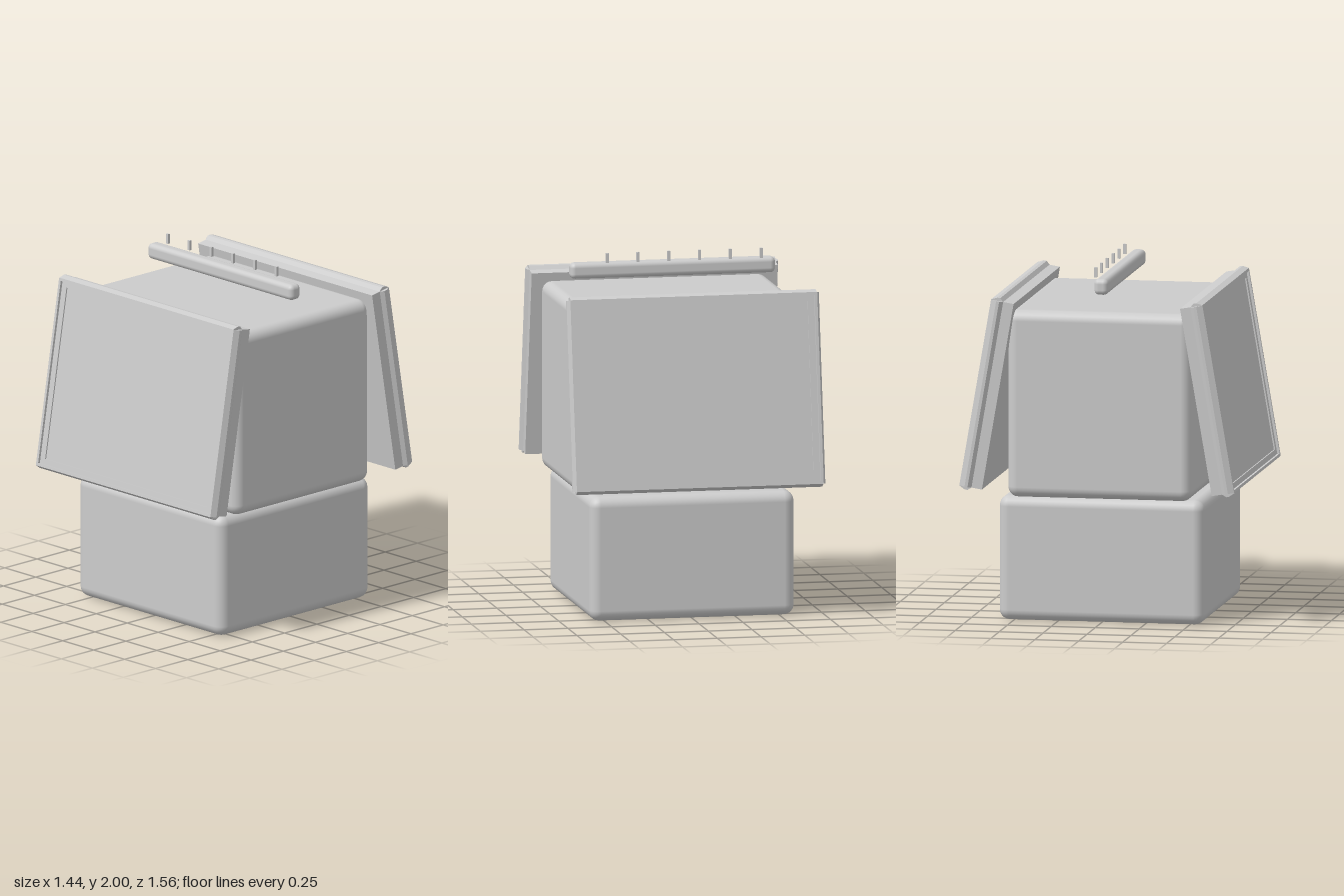
import * as THREE from 'three';
import { RoundedBoxGeometry } from 'three/addons/geometries/RoundedBoxGeometry.js';

export function createModel() {
  const model = new THREE.Group();
  const grey = new THREE.MeshStandardMaterial({ color: 0xcccccc });
  grey.name = 'plain grey';

  function add(parent, name, geometry, x, y, z) {
    const mesh = new THREE.Mesh(geometry, grey);
    mesh.name = name;
    mesh.position.set(x, y, z);
    parent.add(mesh);
    return mesh;
  }

  // Stacked rounded blocks and the floating top bar
  add(model, 'base', new RoundedBoxGeometry(1.17, 0.705, 1.17, 3, 0.06), 0, 0.3525, 0);
  add(model, 'upperBlock', new RoundedBoxGeometry(1.29, 1.06, 1.05, 3, 0.06), 0, 1.235, 0);
  add(model, 'topBar', new RoundedBoxGeometry(1.17, 0.09, 0.08, 3, 0.028), 0, 1.9, 0);

  // Row of small pins
  for (let i = 0; i < 6; i++) {
    add(model, 'pin', new THREE.BoxGeometry(0.016, 0.056, 0.016), -0.5 + i * 0.176, 1.972, -0.044);
  }

  // Bevelled frame bar, running along x with its outer side towards +y
  function frameBar(length) {
    const s = new THREE.Shape();
    s.moveTo(-0.014, 0);
    s.lineTo(0.002, 0);
    s.lineTo(0.018, -0.033);
    s.lineTo(0.018, -0.05);
    s.lineTo(0, -0.07);
    s.lineTo(-0.014, -0.07);
    const g = new THREE.ExtrudeGeometry(s, { depth: length, bevelEnabled: false });
    g.translate(0, 0, -length / 2);
    // cyclic turn: extrusion z -> x, profile x -> y, profile y -> z
    g.applyMatrix4(new THREE.Matrix4().set(0, 0, 1, 0, 1, 0, 0, 0, 0, 1, 0, 0, 0, 0, 0, 1));
    return g;
  }

  // Raised border around the screen
  function screenBorder() {
    const s = new THREE.Shape();
    s.moveTo(-0.69, -0.522);
    s.lineTo(0.69, -0.522);
    s.lineTo(0.69, 0.522);
    s.lineTo(-0.69, 0.522);
    const h = new THREE.Path();
    h.moveTo(-0.652, -0.49);
    h.lineTo(-0.652, 0.49);
    h.lineTo(0.652, 0.49);
    h.lineTo(0.652, -0.49);
    s.holes.push(h);
    return new THREE.ExtrudeGeometry(s, { depth: 0.008, bevelEnabled: false });
  }

  // Tilted display panel, origin at the centre of its outer face
  function panel(name) {
    const g = new THREE.Group();
    g.name = name;
    add(g, 'panelBody', new THREE.BoxGeometry(1.406, 1.07, 0.108), 0, 0, -0.076);
    add(g, 'screenBorder', screenBorder(), 0, 0, -0.022);
    for (const side of [1, -1]) {
      const rail = add(g, 'frameRail', frameBar(1.406), 0, side * 0.535, 0);
      rail.rotation.z = side > 0 ? 0 : Math.PI;
      const post = add(g, 'framePost', frameBar(1.07), side * 0.703, 0, 0);
      post.rotation.z = -side * Math.PI / 2;
    }
    g.position.set(0, 1.305, 0.692);
    g.rotation.x = -THREE.MathUtils.degToRad(9.7);
    return g;
  }

  // Front panel and its copy turned to the back
  model.add(panel('frontPanel'));
  const rear = new THREE.Group();
  rear.name = 'rearMount';
  rear.rotation.y = Math.PI;
  rear.add(panel('rearPanel'));
  model.add(rear);

  return model;
}
